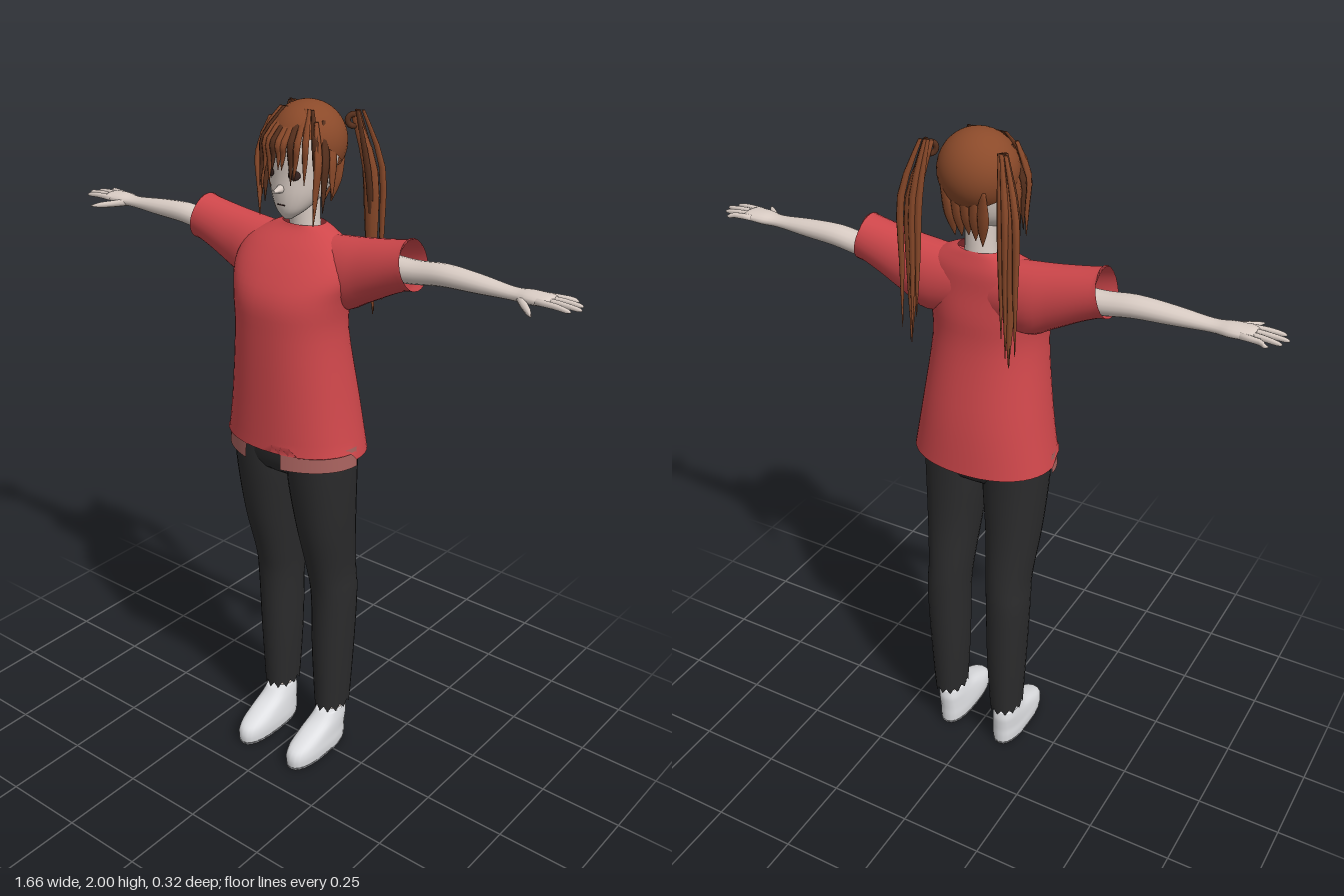
import * as THREE from 'three';

const paint = (name, color, side = THREE.FrontSide) => {
  const m = new THREE.MeshStandardMaterial({ color, side });
  m.name = name;
  return m;
};

// Catmull-Rom blend of one number across four neighbouring sections
const blend = (a, b, c, d, t) =>
  0.5 * (2 * b + (c - a) * t + (2 * a - 5 * b + 4 * c - d) * t * t + (3 * b - a - 3 * c + d) * t * t * t);

// Smooth skin over superellipse sections [along, centreU, centreV, radiusU, radiusV].
// axis 'y': u = x, v = z.  axis 'x': u = z, v = y.  Sections must ascend.
function loft(axis, sections, { n = 24, steps = 4, power = 2, cap = true, tweak } = {}) {
  const rings = [];
  const last = sections.length - 1;
  for (let s = 0; s < last; s++) {
    const q = [Math.max(s - 1, 0), s, s + 1, Math.min(s + 2, last)].map((k) => sections[k]);
    for (let k = 0; k < steps; k++) rings.push(q[1].map((_, c) => blend(q[0][c], q[1][c], q[2][c], q[3][c], k / steps)));
  }
  rings.push(sections[last]);
  const pos = [], index = [];
  const bend = (v) => Math.sign(v) * Math.abs(v) ** (2 / power);
  rings.forEach(([a, u, v, ru, rv], i) => {
    for (let j = 0; j < n; j++) {
      const t = (j / n) * Math.PI * 2;
      const pu = u + ru * bend(Math.cos(t)), pv = v + rv * bend(Math.sin(t));
      const p = axis === 'y' ? new THREE.Vector3(pu, a, pv) : new THREE.Vector3(a, pv, pu);
      if (tweak) tweak(p, i, j, rings.length - 1);
      pos.push(p.x, p.y, p.z);
      if (i === rings.length - 1) continue;
      const A = i * n + j, B = i * n + ((j + 1) % n);
      index.push(A, A + n, B, B, A + n, B + n);
    }
  });
  if (cap) {
    const top = (rings.length - 1) * n;
    for (let j = 1; j < n - 1; j++) index.push(0, j, j + 1, top, top + j + 1, top + j);
  }
  const g = new THREE.BufferGeometry();
  g.setAttribute('position', new THREE.Float32BufferAttribute(pos, 3));
  g.setIndex(index);
  g.computeVertexNormals();
  return g;
}

// Copy of a geometry on the other side of x = 0
function mirror(geo) {
  const g = geo.clone().scale(-1, 1, 1);
  const ix = g.index.array;
  for (let i = 0; i < ix.length; i += 3) [ix[i], ix[i + 1]] = [ix[i + 1], ix[i]];
  g.computeVertexNormals();
  return g;
}

// Tapered lock of hair from a root, past a middle point, to a tip lower down
const lock = (root, mid, tip, w, d = w * 0.5) => loft('y', [
  [tip[1], tip[0], tip[2], 0.001, 0.001],
  [(mid[1] + tip[1]) / 2, (mid[0] + tip[0]) / 2, (mid[2] + tip[2]) / 2, w * 0.75, d * 0.75],
  [mid[1], mid[0], mid[2], w, d],
  [root[1], root[0], root[2], w * 0.5, d * 0.5],
], { n: 6, steps: 3 });

export function createModel() {
  const skin = paint('skin', 0xdacdc5);
  const red = paint('red cloth', 0xcf474b, THREE.DoubleSide);
  const pink = paint('faded hem', 0xa8625e, THREE.DoubleSide);
  const black = paint('black cloth', 0x2b2b2c, THREE.DoubleSide);
  const white = paint('white shoe', 0xe0e1e4);
  const grey = paint('grey', 0x85868a);
  const hair = paint('brown hair', 0x8b4a2a, THREE.DoubleSide);
  const darkHair = paint('dark hair', 0x57301d, THREE.DoubleSide);
  const dark = paint('dark brown', 0x3a2522);

  const model = new THREE.Group();
  model.name = 'figure';
  let seed = 7;
  const rnd = () => ((seed = (seed * 16807) % 2147483647) / 2147483647);
  const add = (name, geo, mat) => {
    const m = new THREE.Mesh(geo, mat);
    m.name = name;
    model.add(m);
  };
  const pair = (name, geo, mat) => {
    add('left ' + name, geo, mat);
    add('right ' + name, mirror(geo), mat);
  };
  const ball = (x, y, z, rx, ry, rz) => new THREE.SphereGeometry(1, 16, 12).scale(rx, ry, rz).translate(x, y, z);

  // Head, neck and face
  add('head', loft('y', [
    [1.705, 0, 0.045, 0.01, 0.012], [1.73, 0, 0.03, 0.042, 0.042], [1.77, 0, 0.0, 0.07, 0.078],
    [1.82, 0, -0.015, 0.084, 0.092], [1.88, 0, -0.02, 0.09, 0.098], [1.94, 0, -0.025, 0.078, 0.086],
    [1.98, 0, -0.03, 0.02, 0.02],
  ]), skin);
  add('neck', loft('y', [[1.6, 0, -0.03, 0.06, 0.045], [1.67, 0, -0.025, 0.043, 0.042], [1.78, 0, -0.02, 0.042, 0.045]]), skin);
  add('nose', new THREE.ConeGeometry(0.013, 0.045, 8).rotateX(Math.PI / 2 + 0.1).translate(0, 1.787, 0.094), skin);
  add('mouth', new THREE.BoxGeometry(0.024, 0.003, 0.006).translate(0, 1.747, 0.074), dark);
  pair('eye', ball(0, 0, 0, 0.017, 0.013, 0.004).rotateY(0.42).translate(0.039, 1.828, 0.069), dark);
  pair('ear', ball(0.088, 1.825, -0.02, 0.01, 0.028, 0.018), skin);

  // Hair cap, open over the face
  add('hair cap', new THREE.SphereGeometry(0.105, 32, 20, 0, Math.PI * 2, 0, Math.PI * 0.57)
    .rotateX(-0.6).translate(0, 1.895, -0.035), hair);
  // Fringe
  for (let i = 0; i < 11; i++) {
    const x = (i - 5) * 0.017;
    const front = (r) => -0.03 + Math.sqrt(r * r - x * x);
    const tipY = 1.8 + rnd() * 0.06 - Math.abs(x) * 0.5;
    add('fringe lock', lock([x * 0.6, 1.985, 0.01], [x, 1.915, front(0.112)],
      [x * 1.05 + (rnd() - 0.5) * 0.02, tipY, front(0.12)], 0.011, 0.005), i % 3 === 1 ? darkHair : hair);
  }
  // Locks framing the face, and short ones on the nape
  for (let k = 0; k < 3; k++) {
    const z = 0.045 - k * 0.03;
    pair('side lock', lock([0.075, 1.96, z - 0.02], [0.098, 1.87, z], [0.09 + k * 0.007, 1.7 + k * 0.03, z + 0.01], 0.008, 0.014),
      k === 1 ? darkHair : hair);
  }
  for (let k = -2; k <= 2; k++) {
    add('nape lock', lock([k * 0.028, 1.87, -0.115], [k * 0.024, 1.8, -0.1], [k * 0.02, 1.71 + rnd() * 0.03, -0.085], 0.018, 0.01), hair);
  }
  // Two long tails
  pair('hair tie', new THREE.TorusGeometry(0.015, 0.008, 8, 14).rotateY(0.75).translate(0.102, 1.95, -0.095), darkHair);
  pair('tail core', lock([0.1, 1.97, -0.1], [0.14, 1.82, -0.122], [0.146, 1.42, -0.14], 0.024, 0.02), hair);
  for (let k = 0; k < 9; k++) {
    const dx = (rnd() - 0.5) * 0.055, dz = (rnd() - 0.5) * 0.045;
    pair('tail strand', lock([0.11 + dx * 0.4, 1.975, -0.105 + dz * 0.4], [0.14 + dx, 1.83, -0.122 + dz],
      [0.148 + dx * 0.9, 1.39 + rnd() * 0.2, -0.14 + dz * 0.4], 0.011, 0.008), k % 3 === 0 ? darkHair : hair);
  }

  // Loose shirt with an uneven front hem
  add('shirt body', loft('y', [
    [1.05, 0, 0.008, 0.212, 0.158], [1.2, 0, 0.015, 0.187, 0.15], [1.4, 0, 0.032, 0.163, 0.133],
    [1.5, 0, 0.032, 0.17, 0.129], [1.57, 0, 0.018, 0.185, 0.108], [1.63, 0, -0.004, 0.165, 0.082],
    [1.67, 0, -0.02, 0.1, 0.054], [1.685, 0, -0.022, 0.062, 0.046],
  ], {
    n: 48, power: 2.2, cap: false,
    tweak: (p, i) => {
      if (i === 0 && p.z > 0.01) p.y += Math.abs(p.x - 0.06) < 0.05 ? 0.05 : 0.025;
    },
  }), red);
  pair('sleeve', loft('x', [
    [0.04, -0.02, 1.575, 0.065, 0.085], [0.15, -0.02, 1.57, 0.075, 0.1], [0.22, -0.02, 1.59, 0.069, 0.088],
    [0.3, -0.019, 1.617, 0.064, 0.073], [0.357, -0.018, 1.635, 0.062, 0.066],
  ], { cap: false, tweak: (p, i, j, end) => { if (i === end) p.x -= (p.y - 1.635) * 0.25; } }), red);
  pair('under hem', new THREE.CylinderGeometry(0.207, 0.211, 0.058, 20, 1, true, 0.3, 1.3)
    .scale(1, 1, 0.755).translate(0, 1.059, 0.009), pink);

  // Arms, palms and fingers
  pair('arm', loft('x', [
    [0.2, -0.03, 1.61, 0.04, 0.04], [0.34, -0.033, 1.61, 0.036, 0.032], [0.44, -0.032, 1.622, 0.036, 0.029],
    [0.54, -0.03, 1.622, 0.031, 0.024], [0.64, -0.028, 1.62, 0.024, 0.016], [0.69, -0.028, 1.622, 0.034, 0.017],
    [0.735, -0.028, 1.624, 0.036, 0.013], [0.75, -0.028, 1.624, 0.03, 0.008],
  ], { n: 16 }), skin);
  [[-0.056, -0.072, 0.795], [-0.038, -0.046, 0.82], [-0.019, -0.02, 0.83], [0.0, 0.006, 0.815]].forEach(([z0, z1, tip]) => {
    pair('finger', loft('x', [
      [0.72, z0, 1.624, 0.009, 0.009], [0.77, (z0 + z1) / 2, 1.625, 0.008, 0.008],
      [tip - 0.01, z1, 1.622, 0.006, 0.006], [tip, z1, 1.621, 0.001, 0.001],
    ], { n: 8, steps: 2 }), skin);
  });
  pair('thumb', loft('x', [
    [0.665, -0.015, 1.618, 0.014, 0.011], [0.695, 0.014, 1.614, 0.014, 0.01],
    [0.725, 0.043, 1.611, 0.01, 0.008], [0.742, 0.062, 1.61, 0.002, 0.002],
  ], { n: 8, steps: 2 }), skin);

  // Trousers with frayed cuffs
  add('trouser seat', loft('y', [
    [0.985, 0, 0.012, 0.14, 0.09], [1.03, 0, 0.015, 0.185, 0.108], [1.13, 0, 0.018, 0.165, 0.108],
  ], { power: 2.4 }), black);
  pair('trouser leg', loft('y', [
    [0.15, 0.1, -0.042, 0.046, 0.063], [0.35, 0.1, -0.043, 0.056, 0.073], [0.55, 0.102, -0.042, 0.062, 0.077],
    [0.65, 0.098, -0.031, 0.064, 0.083], [0.8, 0.098, -0.005, 0.077, 0.095], [0.95, 0.095, 0.01, 0.09, 0.105],
    [1.06, 0.095, 0.015, 0.094, 0.11],
  ], { power: 2.2, cap: false, tweak: (p, i, j) => { if (i === 0) p.y += j % 2 ? 0.012 : -0.008; } }), black);
  add('buckle', new THREE.BoxGeometry(0.05, 0.025, 0.01).translate(0, 1.075, 0.127), grey);

  // Ankles and shoes
  pair('ankle', loft('y', [[0.07, 0.1, -0.045, 0.03, 0.036], [0.13, 0.1, -0.045, 0.03, 0.034], [0.24, 0.1, -0.043, 0.036, 0.045]]), skin);
  pair('shoe', loft('y', [
    [0.008, 0.097, 0.037, 0.044, 0.126], [0.035, 0.097, 0.037, 0.047, 0.127], [0.06, 0.097, 0.03, 0.046, 0.12],
    [0.085, 0.098, 0.006, 0.044, 0.097], [0.11, 0.099, -0.022, 0.041, 0.069], [0.135, 0.1, -0.035, 0.037, 0.05],
  ], { power: 2.5 }), white);
  pair('sole', loft('y', [[0, 0.097, 0.037, 0.043, 0.124], [0.009, 0.097, 0.037, 0.045, 0.127]], { power: 2.5, steps: 1 }), grey);

  return model;
}
